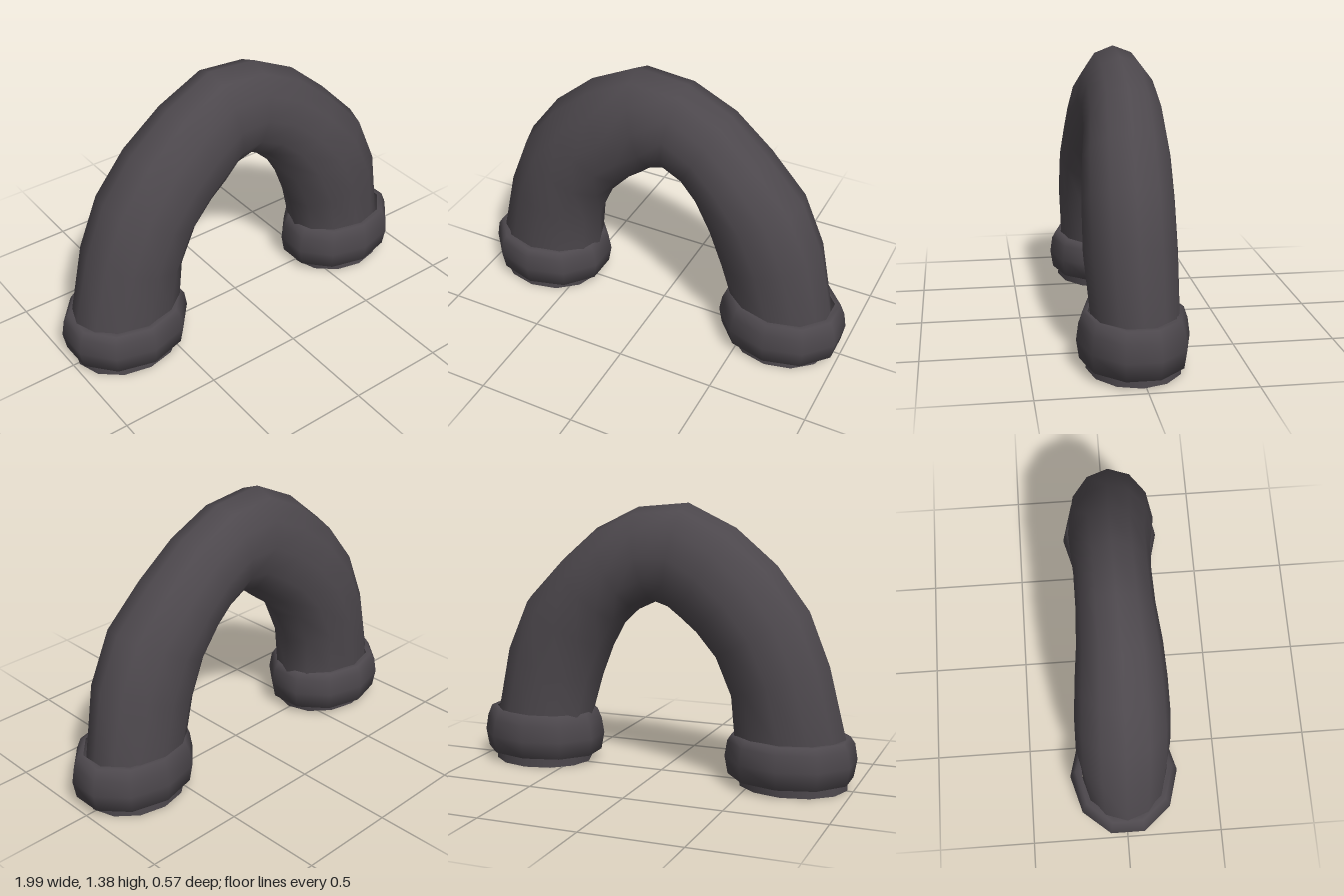
import * as THREE from 'three';

// Lofts closed rings. Each ring: [outerX, outerY, innerX, innerY, zMin, zMax]
function loft(rings, sides, phase) {
  const pos = [], index = [];
  for (const [ox, oy, ix, iy, z0, z1] of rings) {
    for (let j = 0; j < sides; j++) {
      const a = phase + (j / sides) * Math.PI * 2;
      const c = Math.cos(a), s = Math.sin(a);
      pos.push((ox + ix) / 2 + ((ox - ix) / 2) * c,
        (oy + iy) / 2 + ((oy - iy) / 2) * c,
        (z0 + z1) / 2 + ((z1 - z0) / 2) * s);
    }
  }
  for (let i = 0; i < rings.length - 1; i++) {
    for (let j = 0; j < sides; j++) {
      const k = (j + 1) % sides;
      const a = i * sides + j, b = i * sides + k, c = a + sides, d = b + sides;
      index.push(a, b, c, b, d, c);
    }
  }
  const g = new THREE.BufferGeometry();
  g.setAttribute('position', new THREE.Float32BufferAttribute(pos, 3));
  g.setIndex(index);
  g.computeVertexNormals();
  return g;
}

export function createModel() {
  const group = new THREE.Group();
  const iron = new THREE.MeshStandardMaterial({ color: 0x4d484d, side: THREE.DoubleSide });
  iron.name = 'dark iron';
  const add = (name, geometry) => {
    const mesh = new THREE.Mesh(geometry, iron);
    mesh.name = name;
    group.add(mesh);
    return mesh;
  };

  // Arched pipe, from the right foot over the top to the left foot
  add('archedPipe', loft([
    [-0.97, 0, -0.42, 0, -0.22, 0.24],
    [-0.96, 0.25, -0.39, 0.25, -0.22, 0.22],
    [-0.87, 0.61, -0.38, 0.44, -0.24, 0.235],
    [-0.765, 0.87, -0.3, 0.62, -0.235, 0.235],
    [-0.6, 1.085, -0.2, 0.73, -0.22, 0.225],
    [-0.39, 1.26, -0.12, 0.79, -0.2, 0.21],
    [-0.145, 1.377, -0.04, 0.855, -0.19, 0.185],
    [0.12, 1.352, 0.03, 0.878, -0.19, 0.18],
    [0.35, 1.24, 0.12, 0.835, -0.2, 0.19],
    [0.55, 1.07, 0.2, 0.76, -0.205, 0.215],
    [0.745, 0.87, 0.28, 0.62, -0.2, 0.235],
    [0.86, 0.61, 0.35, 0.44, -0.2, 0.24],
    [0.93, 0.25, 0.4, 0.25, -0.2, 0.215],
    [0.945, 0, 0.42, 0, -0.21, 0.24],
  ], 12, 0));

  // Bulging collar and recessed end cap for each foot
  const feet = [
    { side: 'right', x: -0.685, rx: 0.33, z0: -0.285, z1: 0.283, top: 0.255, capX: -0.695 },
    { side: 'left', x: 0.682, rx: 0.33, z0: -0.245, z1: 0.283, top: 0.275, capX: 0.683 },
  ];
  const profile = [[0.8, 0.055], [0.95, 0.05], [1, 0.14], [0.96, 0.22], [0.89, 1], [0.8, 1]];
  for (const f of feet) {
    const zc = (f.z0 + f.z1) / 2, rz = (f.z1 - f.z0) / 2;
    add(f.side + 'Collar', loft(profile.map(([s, h]) => {
      const y = h === 1 ? f.top : h;
      return [f.x - f.rx * s, y, f.x + f.rx * s, y, zc - rz * s, zc + rz * s];
    }), 10, Math.PI / 10));
    const cap = add(f.side + 'EndCap', new THREE.CircleGeometry(1, 12));
    cap.rotation.x = Math.PI / 2;
    cap.scale.set(0.27, 0.225, 1);
    cap.position.set(f.capX, 0.05, 0.01);
  }
  return group;
}
